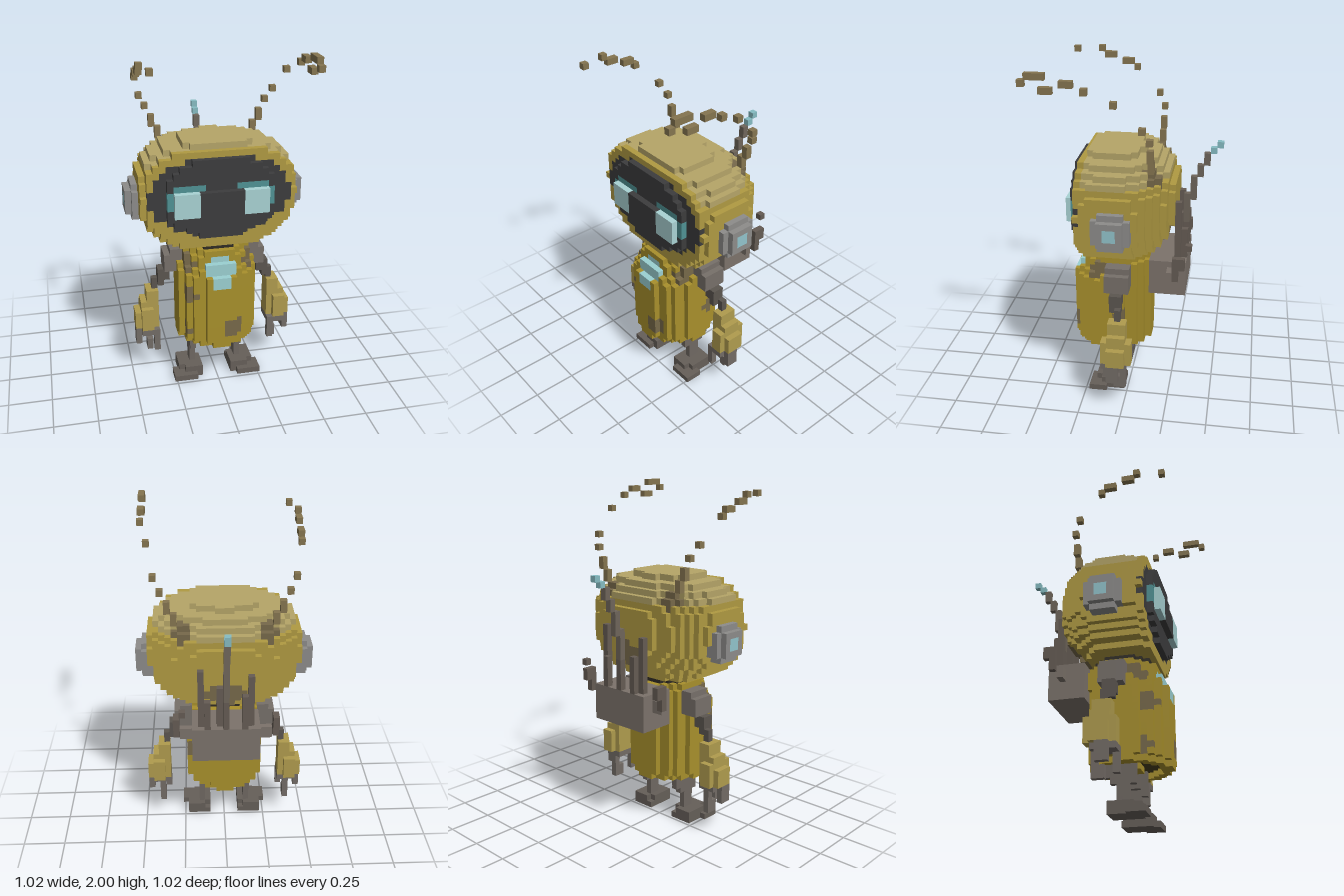
import * as THREE from 'three';
import { mergeGeometries } from 'three/addons/utils/BufferGeometryUtils.js';

const V = 2 / 57; // cube size: the figure is 57 cubes tall

const COLORS = {
  head: 0xb09a42, headCap: 0xb5a568, visor: 0x3c3c3d, eyeRims: 0x4f9294, eyes: 0xa9d3d4,
  ears: 0x8d8c8a, earLights: 0x92c4cc, neck: 0x2f2b24, body: 0xa8902c, bodyBase: 0x4a401f,
  chestLight: 0x9bd0d2, rustPatches: 0x77694a, shoulders: 0x77706a, arms: 0x5c5650,
  forearms: 0xb09c4e, claws: 0x736c66, legs: 0x6f6862, feet: 0x665f59,
  antennae: 0x857550, backpack: 0x7c736b, pipes: 0x655c54, rearAerial: 0x6f665b, aerialTip: 0x86bcc2,
};

export function createModel() {
  const cells = new Map();
  const key = (x, y, z) => `${x},${y},${z}`;
  const put = (part, x, y, z) => cells.set(key(x, y, z), { part, x, y, z });

  // Fill a range of cubes, optionally limited by a rule
  function fill(part, [x0, x1], [y0, y1], [z0, z1], rule = () => true) {
    for (let x = x0; x <= x1; x++)
      for (let y = y0; y <= y1; y++)
        for (let z = z0; z <= z1; z++) if (rule(x, y, z)) put(part, x, y, z);
  }
  // The same range on both sides
  function pair(part, [x0, x1], ys, zs, rule) {
    fill(part, [x0, x1], ys, zs, rule);
    fill(part, [-x1, -x0], ys, zs, rule && ((x, y, z) => rule(-x, y, z)));
  }

  // Head: wide oval section, domed at the back, flat at the front, fuller below
  const pow = (v, p) => Math.pow(Math.abs(v), p);
  const inHead = (x, y, z) =>
    pow(x / 12.7, 2.5) + pow((y - 34) / (y > 34 ? 8.45 : 9.2), 2.5) +
    (z < 1 ? pow((z - 1) / 8.6, 2) : pow((z - 1) / 10, 4)) < 1;
  fill('head', [-12, 12], [26, 42], [-7, 7], inHead);
  fill('headCap', [-12, 12], [39, 42], [-7, 6], inHead);

  // Visor with a raised bridge, and eyes
  const oval = (rx, ry) => (x, y) => (x / rx) ** 2 + ((y - 34.2) / ry) ** 2 < 1;
  fill('visor', [-11, 11], [28, 40], [7, 7], oval(11.4, 6.8));
  fill('visor', [-8, 8], [28, 40], [8, 8], oval(9.6, 6.6));
  fill('visor', [-3, 3], [32, 35], [9, 9]);
  pair('eyeRims', [3, 8], [32, 36], [8, 8], (x, y) => !(x === 8 && (y === 32 || y === 36)));
  pair('eyes', [4, 7], [32, 35], [9, 9]);

  // Ears: stepped round discs with lit centres
  const disc = (r) => (x, y, z) => Math.hypot(y - 32.5, z - 1.5) < r;
  pair('ears', [12, 13], [30, 35], [-1, 4], disc(3.3));
  pair('ears', [14, 14], [31, 34], [0, 3]);
  pair('earLights', [14, 14], [32, 33], [1, 2]);

  // Neck and rounded barrel body, its front sloping back towards the collar
  const round = (r, cz = 3) => (x, y, z) => Math.hypot(x, z - cz) < r;
  fill('neck', [-5, 5], [24, 26], [-3, 7], round(4.7, 2));
  const bodyRows = [[8, 8, 6.2, 3], [9, 20, 6.7, 3], [21, 21, 6.3, 2.5], [22, 23, 6, 2]];
  for (const [y0, y1, r, cz] of bodyRows) fill('body', [-6, 6], [y0, y1], [-3, 9], round(r, cz));
  fill('body', [-5, 5], [24, 24], [-3, 7], (x, y, z) => round(5.6, 2)(x, y, z) && !round(4.5, 2)(x, y, z));

  // Recessed underside with a small knob
  fill('bodyBase', [-5, 5], [9, 9], [-2, 8], round(5));
  for (let x = -5; x <= 5; x++)
    for (let z = -2; z <= 8; z++)
      if (round(5)(x, 0, z)) cells.delete(key(x, 8, z));
  fill('body', [-2, 2], [8, 8], [1, 5], round(1.9));

  // Chest light, following the slope of the chest
  for (const [y, half, z] of [[19, 1, 9], [20, 1, 9], [21, 2, 8], [22, 2, 8], [23, 1, 7]])
    fill('chestLight', [-half, half], [y, y], [z, z]);

  // Worn patches recolour cubes already in place
  const patches = [[2, 11, 9, 1.9], [-5, 17, 7, 1.6], [5, 22, 5, 1.6], [-5, 22, 5, 1.6],
    [-5, 10, 6, 1.2], [6, 14, 1, 1.3], [7, 39, -4, 1.6], [-7, 39, -4, 1.6], [0, 29, -6, 3.2]];
  for (const [px, py, pz, r] of patches)
    for (const c of cells.values())
      if (['body', 'head', 'headCap'].includes(c.part) && Math.hypot(c.x - px, c.y - py, c.z - pz) < r)
        c.part = 'rustPatches';

  // Arms: shoulder block, thin stepped upper arm, tapered forearm, claw fingers
  pair('shoulders', [6, 8], [20, 23], [0, 3], (x, y) => !(x === 8 && y === 23));
  pair('arms', [8, 8], [18, 19], [1, 2]);
  pair('arms', [9, 9], [17, 19], [1, 2]);
  pair('arms', [10, 10], [15, 17], [1, 1]);
  pair('forearms', [10, 11], [13, 15], [0, 2]);
  pair('forearms', [12, 12], [13, 13], [0, 2]);
  pair('forearms', [10, 13], [9, 12], [-1, 3], (x, y, z) =>
    Math.abs(x - 11.5) / 2 + Math.abs(z - 1) / 3 < 1.3 && !(x === 13 && y === 12));
  pair('claws', [10, 12], [8, 8], [0, 3]);
  pair('claws', [13, 13], [6, 8], [1, 2]);
  pair('claws', [11, 11], [4, 7], [0, 0]);
  pair('claws', [10, 10], [5, 7], [3, 3]);
  pair('claws', [11, 11], [4, 5], [1, 1]);

  // Legs and feet
  pair('legs', [4, 4], [2, 8], [2, 3]);
  pair('legs', [4, 4], [5, 8], [0, 4], (x, y, z) => y > 5 || z > 0);
  pair('legs', [3, 3], [6, 8], [1, 3]);
  pair('feet', [3, 7], [0, 0], [1, 6], (x, y, z) => !(x === 7 && z < 4) && !(x === 3 && z > 5));
  pair('feet', [3, 6], [1, 1], [1, 5], (x, y, z) => x + z < 11 && x + z > 4);

  // Backpack with side brackets and upright pipes
  fill('backpack', [-5, 5], [19, 24], [-9, -4]);
  pair('backpack', [6, 7], [22, 23], [-7, -7]);
  for (const [x, z, top] of [[-4, -8, 33], [-3, -9, 30], [0, -9, 30], [1, -8, 31], [4, -8, 34], [3, -9, 29]])
    fill('pipes', [x, x], [25, top], [z, z]);
  pair('pipes', [8, 8], [23, 26], [-8, -8]);
  pair('pipes', [8, 8], [25, 26], [-9, -9]);
  fill('pipes', [7, 7], [28, 28], [-10, -10]);

  // Rear aerial sweeping up and back
  for (const [z, y0, y1] of [[-9, 30, 34], [-10, 34, 37], [-11, 38, 39], [-12, 40, 41]])
    fill('rearAerial', [0, 0], [y0, y1], [z, z]);
  put('aerialTip', 0, 42, -13);
  put('aerialTip', 0, 43, -14);

  // Broken-line antennae: [x, y, first z, last z]
  const stem = [[8, 41, -4, -4], [8, 42, -4, -4], [9, 43, -4, -4], [9, 44, -4, -4],
    [10, 46, -4, -4], [11, 48, -3, -3], [12, 52, 1, 1]];
  const leftTip = [[13, 54, 5, 5], [13, 55, 7, 8], [13, 54, 10, 11], [13, 56, 11, 13], [13, 55, 14, 14]];
  const rightTip = [[-12, 53, 2, 3], [-12, 54, 5, 6], [-12, 55, 7, 7], [-11, 55, 11, 11]];
  for (const [x, y, z0, z1] of stem) pair('antennae', [x, x], [y, y], [z0, z1]);
  for (const [x, y, z0, z1] of [...leftTip, ...rightTip]) fill('antennae', [x, x], [y, y], [z0, z1]);

  // One outward square per direction
  const sides = [[1, 0, 0], [-1, 0, 0], [0, 1, 0], [0, -1, 0], [0, 0, 1], [0, 0, -1]].map((d) => {
    const dir = new THREE.Vector3(...d);
    const turn = new THREE.Quaternion().setFromUnitVectors(new THREE.Vector3(0, 0, 1), dir);
    if (d[2] === -1) turn.setFromAxisAngle(new THREE.Vector3(0, 1, 0), Math.PI);
    const face = new THREE.PlaneGeometry(V, V).applyQuaternion(turn);
    return { d, face: face.translate(...d.map((n) => (n * V) / 2)) };
  });

  // Each part becomes one mesh made of its exposed cube faces
  const faces = {};
  for (const { part, x, y, z } of cells.values())
    for (const { d, face } of sides)
      if (!cells.has(key(x + d[0], y + d[1], z + d[2])))
        (faces[part] ??= []).push(face.clone().translate(x * V, (y + 0.5) * V, z * V));

  const model = new THREE.Group();
  model.name = 'robot';
  for (const [part, list] of Object.entries(faces)) {
    const material = new THREE.MeshStandardMaterial({ color: COLORS[part] });
    const mesh = new THREE.Mesh(mergeGeometries(list), material);
    mesh.name = part;
    model.add(mesh);
  }
  return model;
}
